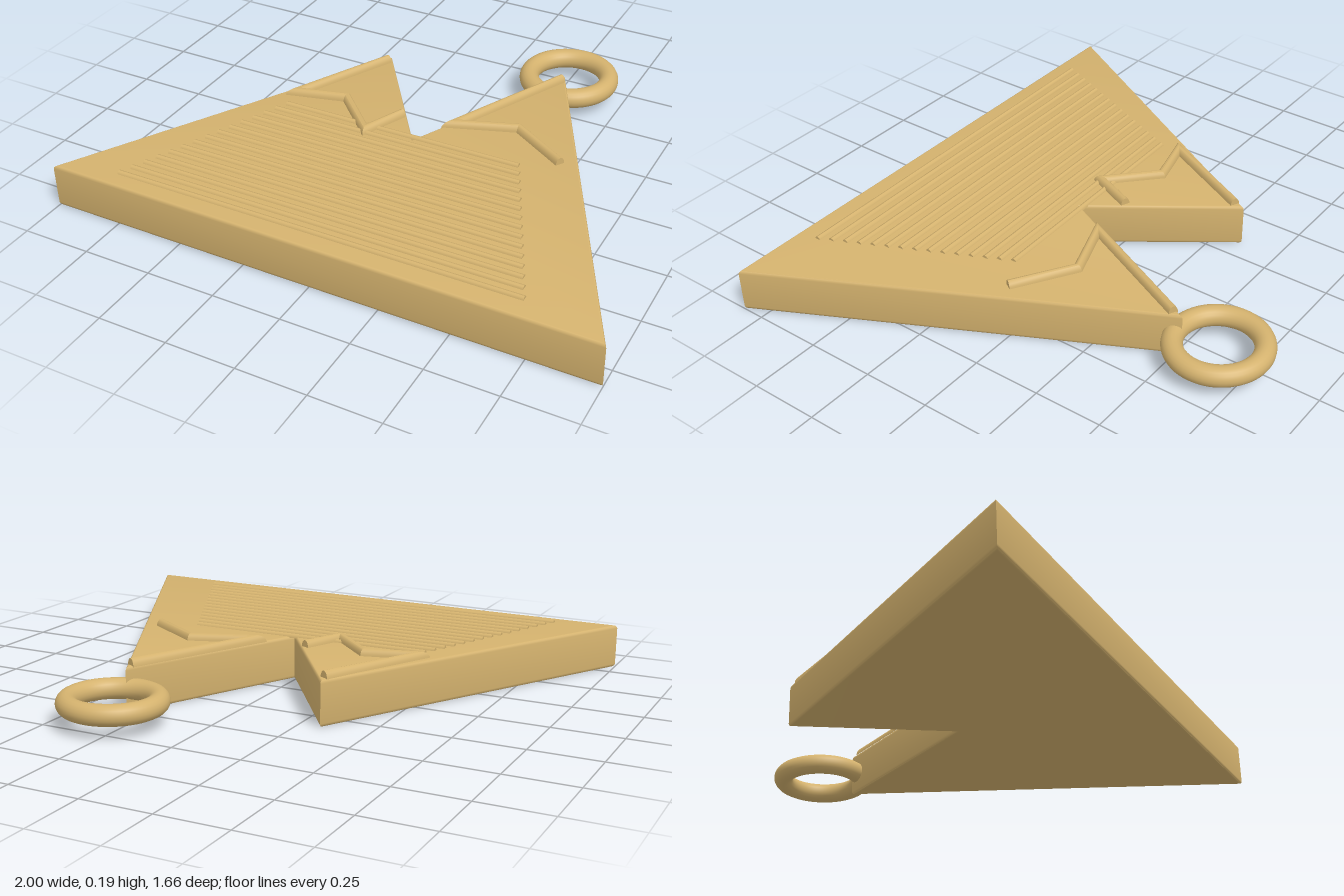
import * as THREE from 'three';
import { toCreasedNormals } from 'three/addons/utils/BufferGeometryUtils.js';

const TOP = 0.162; // height of the slab's upper face

// Raised rounded ridge swept along an [x, z] polyline with mitred corners
function ridgeGeometry(path, halfWidth, height, sides = 8) {
  const pts = path.map(([x, z]) => new THREE.Vector2(x, z));
  const dirs = pts.slice(1).map((p, i) => p.clone().sub(pts[i]).normalize());
  const positions = [];
  const index = [];
  const ring = sides + 1;
  pts.forEach((p, i) => {
    const a = dirs[Math.max(i - 1, 0)];
    const b = dirs[Math.min(i, dirs.length - 1)];
    const na = new THREE.Vector2(-a.y, a.x);
    const miter = na.clone().add(new THREE.Vector2(-b.y, b.x)).normalize();
    miter.multiplyScalar(halfWidth / miter.dot(na));
    for (let j = 0; j <= sides; j++) {
      const t = Math.PI * j / sides;
      const u = -Math.cos(t);
      positions.push(p.x + miter.x * u, TOP - 0.004 + (height + 0.004) * Math.sin(t), p.y + miter.y * u);
    }
  });
  for (let i = 0; i < pts.length - 1; i++) {
    for (let j = 0; j < sides; j++) {
      const k = i * ring + j;
      index.push(k, k + 1, k + ring, k + 1, k + ring + 1, k + ring);
    }
  }
  const last = (pts.length - 1) * ring;
  for (let j = 1; j < sides; j++) {
    index.push(0, j + 1, j, last, last + j, last + j + 1);
  }
  const geo = new THREE.BufferGeometry();
  geo.setAttribute('position', new THREE.Float32BufferAttribute(positions, 3));
  geo.setIndex(index);
  return toCreasedNormals(geo, 0.6);
}

export function createModel() {
  const model = new THREE.Group();
  model.name = 'mountainPendant';
  const gold = new THREE.MeshStandardMaterial({ color: 0xd4b26e });
  gold.name = 'gold';

  const add = (name, geometry, parent = model) => {
    const mesh = new THREE.Mesh(geometry, gold);
    mesh.name = name;
    parent.add(mesh);
    return mesh;
  };

  // Twin-peak slab with softened edges
  const outline = [[-1, 0.83], [1, 0.83], [0.32, -0.52], [0.01, 0.125], [-0.33, -0.355]];
  const shape = new THREE.Shape(outline.map(([x, z]) => new THREE.Vector2(x, -z)));
  const bevel = 0.012;
  const slab = new THREE.ExtrudeGeometry(shape, {
    depth: TOP - 2 * bevel, bevelEnabled: true, bevelThickness: bevel,
    bevelSize: bevel, bevelOffset: -bevel, bevelSegments: 3,
  });
  slab.translate(0, 0, bevel).rotateX(-Math.PI / 2);
  add('mountainSlab', toCreasedNormals(slab, 0.6));

  // Snow-cap outlines on both peaks
  add('leftSnowLine', ridgeGeometry(
    [[0.322, -0.485], [0.1, -0.017], [0.32, -0.095], [0.53, 0.038]], 0.018, 0.025));
  add('rightSnowLine', ridgeGeometry(
    [[-0.325, -0.32], [-0.51, 0.047], [-0.325, 0], [-0.163, 0.158], [-0.095, 0.002]], 0.018, 0.025));

  // Fine, slightly tilted ribs across the lower slope
  const ribs = new THREE.Group();
  ribs.name = 'ribs';
  model.add(ribs);
  const count = 15;
  for (let i = 0; i < count; i++) {
    const t = i / (count - 1);
    const left = [THREE.MathUtils.lerp(-0.505, -0.775, t), THREE.MathUtils.lerp(0.125, 0.76, t)];
    const right = [THREE.MathUtils.lerp(0.41, 0.71, t), THREE.MathUtils.lerp(0.112, 0.747, t)];
    add('rib' + (i + 1), ridgeGeometry([left, right], 0.012, 0.01, 6), ribs);
  }

  // Hanging ring lying flat behind the taller peak
  const loop = new THREE.TorusGeometry(0.153, 0.037, 20, 64);
  loop.rotateX(-Math.PI / 2);
  add('hangingRing', loop).position.set(0.29, 0.082, -0.643);

  return model;
}
